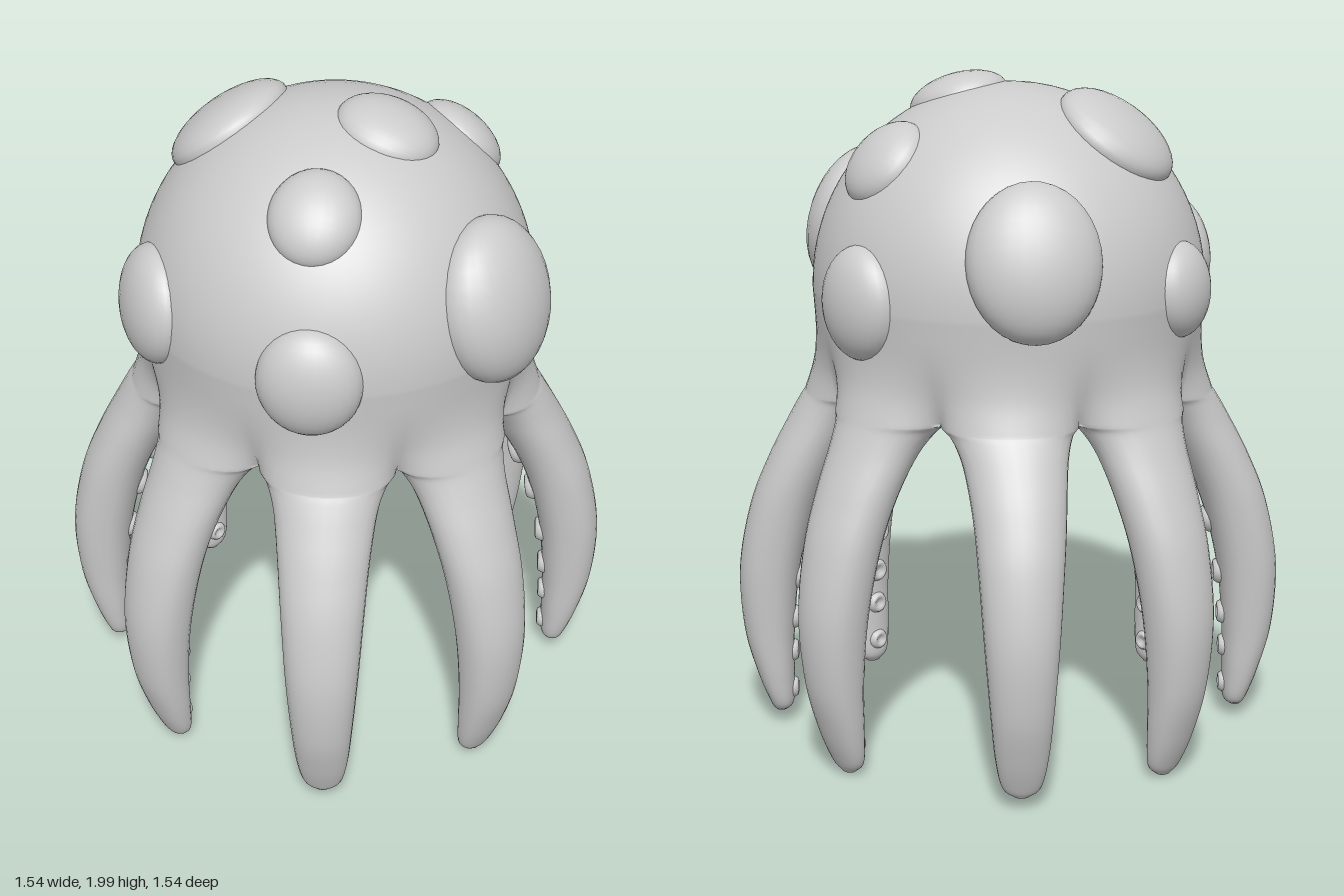
import * as THREE from 'three';
import { mergeVertices } from 'three/addons/utils/BufferGeometryUtils.js';

const ARMS = 8, N = 14, HALF = Math.PI / ARMS, ROWS = 54;
const HEAD_Y = 1.38, HEAD_R = 0.58, HEAD_H = 0.59, SPLIT_Y = 1.06;
const rad = THREE.MathUtils.degToRad;
const smooth = THREE.MathUtils.smoothstep;
const lerp = THREE.MathUtils.lerp;

// Arm stations from the split to the tip: height, outer radius, inner radius, half width
const STATIONS = [
  [SPLIT_Y, 0.61, 0.33, 0.47 * Math.tan(HALF)],
  [1.035, 0.62, 0.365, 0.171],
  [0.97, 0.65, 0.425, 0.148],
  [0.85, 0.705, 0.498, 0.132],
  [0.7, 0.757, 0.56, 0.12],
  [0.5, 0.788, 0.605, 0.106],
  [0.3, 0.773, 0.62, 0.09],
  [0.15, 0.73, 0.618, 0.076],
  [0.05, 0.688, 0.615, 0.056],
  [0.015, 0.665, 0.63, 0.022],
];

// Lumps: point on the head, half width, half height, how far it stands out
const LUMPS = [
  [0.01, 1.53, 0.57, 0.21, 0.24, 0.105],
  [-0.51, 1.41, 0.28, 0.15, 0.165, 0.065],
  [0.57, 1.39, 0.16, 0.145, 0.165, 0.06],
  [0.42, 1.54, -0.36, 0.19, 0.225, 0.085],
  [-0.05, 1.41, -0.575, 0.13, 0.14, 0.055],
  [-0.48, 1.44, -0.31, 0.17, 0.175, 0.065],
  [-0.07, 1.85, -0.34, 0.2, 0.19, 0.055],
  [-0.33, 1.82, 0.17, 0.13, 0.14, 0.055],
  [0.03, 1.93, 0.16, 0.135, 0.15, 0.045],
  [0.38, 1.78, 0.19, 0.14, 0.14, 0.05],
];

// Heading of each arm and its sideways turn; every second arm reaches further and ends higher
const TURNS = [1.5, -2.5, 1.5, 0.5, 1.5, -0.5, 1.5, -2.5];
const armAngle = (k) => rad(11.5 + 45 * k);
const armReach = (k) => (k % 2 ? 0.055 : 0);
const armLift = (k) => (k % 2 ? 0.03 : 0);

// Smoothly sampled arm stations
function armRows() {
  const a = new THREE.CatmullRomCurve3(STATIONS.map((s) => new THREE.Vector3(s[0], s[1], s[2])), false, 'catmullrom');
  const b = new THREE.CatmullRomCurve3(STATIONS.map((s) => new THREE.Vector3(s[3], 0, 0)), false, 'catmullrom');
  return Array.from({ length: ROWS + 1 }, (_, i) => {
    const t = i / ROWS, p = a.getPoint(t);
    return { t, y: p.x, ro: p.y, ri: p.z, w: b.getPoint(t).x };
  });
}

// Head profile: half ellipsoid, then a neck that flares into the arms
function headRows() {
  const rows = [];
  for (let i = 0; i < 20; i++) {
    const t = (i / 20) * Math.PI / 2;
    rows.push([HEAD_R * Math.sin(t), HEAD_Y + HEAD_H * Math.cos(t)]);
  }
  const neck = new THREE.SplineCurve([[0.58, 1.38], [0.573, 1.25], [0.582, 1.15], [0.61, SPLIT_Y]]
    .map((p) => new THREE.Vector2(...p)));
  neck.getPoints(18).forEach((p) => rows.push([p.x, p.y]));
  return rows;
}

// One skin: eight head sectors, each running on into its own arm
function bodyGeometry(arm) {
  const pos = [];
  const tri = (...ps) => ps.forEach((p) => pos.push(p.x, p.y, p.z));
  const strip = (up, low) => {
    for (let j = 0; j + 1 < up.length; j++) {
      tri(up[j + 1], low[j + 1], low[j]);
      tri(up[j + 1], low[j], up[j]);
    }
  };
  const head = headRows();
  for (let k = 0; k < ARMS; k++) {
    const turn = rad(TURNS[k]);
    const place = (r, t, y, extra = 0) => {
      const a = armAngle(k) + extra;
      return new THREE.Vector3(r * Math.cos(a) - t * Math.sin(a), y, r * Math.sin(a) + t * Math.cos(a));
    };
    // Sector of the head, its edges curving in ever faster towards the split
    const sector = head.map(([R, y]) => {
      const lobe = THREE.MathUtils.clamp((1.32 - y) / (1.32 - SPLIT_Y), 0, 1) ** 2.2;
      const c = R * 0.47 / 0.61;
      return Array.from({ length: N + 1 }, (_, j) => {
        const s = 2 * j / N - 1, f = s * Math.PI / 2;
        return place(
          lerp(R * Math.cos(s * HALF), c + (R - c) * Math.cos(f), lobe),
          lerp(R * Math.sin(s * HALF), c * Math.tan(HALF) * Math.sin(f), lobe), y);
      });
    });
    for (let i = 0; i + 1 < sector.length; i++) strip(sector[i], sector[i + 1]);
    // Arm loops, rounder at the root and slightly squarer further down
    const loops = arm.map(({ t, y, ro, ri, w }) => Array.from({ length: 2 * N + 1 }, (_, j) => {
      const f = (j % (2 * N)) / N * Math.PI - Math.PI / 2, c = Math.cos(f);
      const depth = Math.sign(c) * Math.abs(c) ** (1 - 0.15 * smooth(t, 0.2, 0.6));
      return place((ro + ri) / 2 + armReach(k) * t + (ro - ri) / 2 * depth, w * Math.sin(f),
        y + armLift(k) * t * t, turn * smooth(t, 0, 0.4));
    }));
    for (let i = 0; i + 1 < loops.length; i++) strip(loops[i], loops[i + 1]);
    // Tip cap and underside
    const end = loops[ROWS];
    const tip = place(0.647 + armReach(k), 0, 0.008 + armLift(k), turn);
    const hub = new THREE.Vector3(0, 1.12, 0);
    for (let j = 0; j < 2 * N; j++) {
      tri(end[j + 1], tip, end[j]);
      if (j >= N) tri(loops[0][j], hub, loops[0][j + 1]);
    }
  }
  let geo = new THREE.BufferGeometry();
  geo.setAttribute('position', new THREE.Float32BufferAttribute(pos, 3));
  geo = mergeVertices(geo, 1e-4);
  geo.computeVertexNormals();
  return geo;
}

export function createModel() {
  const model = new THREE.Group();
  const mat = new THREE.MeshStandardMaterial({ color: 0xcccccc });
  const arm = armRows();

  const body = new THREE.Mesh(bodyGeometry(arm), mat);
  body.name = 'headAndArms';
  model.add(body);

  // Flattened lumps set into the head
  const lumps = new THREE.Group();
  lumps.name = 'headLumps';
  const ball = new THREE.SphereGeometry(1, 28, 18);
  for (const [x, y, z, w, h, out] of LUMPS) {
    const p = new THREE.Vector3(x / HEAD_R, (y - HEAD_Y) / HEAD_H, z / HEAD_R).normalize();
    const lump = new THREE.Mesh(ball, mat);
    lump.name = 'lump';
    lump.position.set(p.x * (HEAD_R - 0.03), HEAD_Y + p.y * (HEAD_H - 0.03), p.z * (HEAD_R - 0.03));
    lump.lookAt(p.x * 3, HEAD_Y + p.y * 3, p.z * 3);
    lump.scale.set(w, h, out + 0.03);
    lumps.add(lump);
  }
  model.add(lumps);

  // Cupped suckers down the inside of each arm
  const cup = new THREE.LatheGeometry(
    [[1.25, -0.5], [1.1, 0.1], [0.92, 0.42], [0.7, 0.5], [0.5, 0.36], [0.25, 0.2], [0, 0.15]]
      .map((p) => new THREE.Vector2(...p)), 16);
  for (let k = 0; k < ARMS; k++) {
    const row = new THREE.Group();
    row.name = 'armSuckers';
    row.rotation.y = -armAngle(k);
    for (const y of [0.1, 0.22, 0.34, 0.48, 0.63, 0.78, 0.93]) {
      const s = arm.reduce((a, b) => (Math.abs(b.y - y) < Math.abs(a.y - y) ? b : a));
      const r = s.ri + armReach(k) * s.t + 0.002, turn = rad(TURNS[k]) * smooth(s.t, 0, 0.4);
      const sucker = new THREE.Mesh(cup, mat);
      sucker.name = 'sucker';
      sucker.position.set(r * Math.cos(turn), s.y + armLift(k) * s.t * s.t, r * Math.sin(turn));
      sucker.rotation.z = Math.PI / 2 + 0.45 * smooth(y, 0.4, 0.95);
      sucker.scale.setScalar(0.027 + 0.018 * y);
      row.add(sucker);
    }
    model.add(row);
  }
  return model;
}
